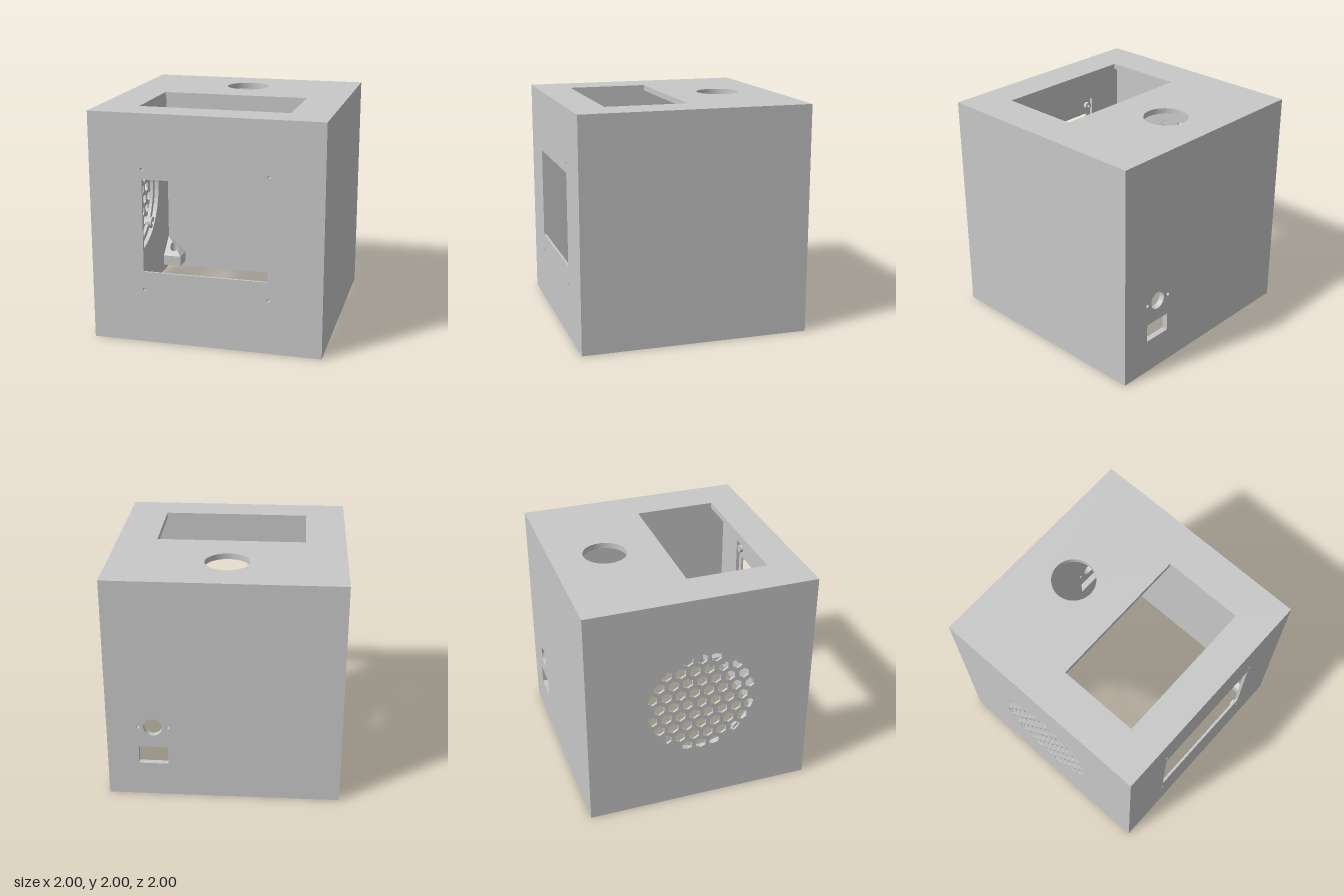
import * as THREE from 'three';

const T = 0.05;      // wall thickness
const IN = 1 - T;    // inner wall position
const SKIN = 0.02;   // thin outer layer at the window and the vent

function rect(Kind, x0, y0, x1, y1) {
  const s = new Kind();
  s.moveTo(x0, y0).lineTo(x1, y0).lineTo(x1, y1).lineTo(x0, y1).closePath();
  return s;
}
function circle(Kind, x, y, r) {
  const s = new Kind();
  s.absarc(x, y, r, 0, Math.PI * 2, false);
  return s;
}
const hole = (x, y, r) => circle(THREE.Path, x, y, r);
const slot = (x0, y0, x1, y1) => rect(THREE.Path, x0, y0, x1, y1);

function plate(shape, holes, depth) {
  shape.holes.push(...holes);
  return new THREE.ExtrudeGeometry(shape, { depth, bevelEnabled: false, curveSegments: 24 });
}

// Hexagonal vent holes in staggered rows, trimmed to a round outline
function ventHoles(cy, R) {
  const pitch = 0.125, row = pitch * Math.sqrt(3) / 2, r = 0.05, out = [];
  for (let j = -4; j <= 4; j++) {
    for (let i = -5; i <= 5; i++) {
      const x = (i + (j % 2 ? 0.5 : 0)) * pitch, y = j * row;
      if (Math.hypot(x, y) > R - 0.01) continue;
      const pts = [];
      for (let k = 0; k < 6; k++) {
        const a = (k + 0.5) * Math.PI / 3;
        const p = new THREE.Vector2(x + r * Math.cos(a), y + r * Math.sin(a));
        pts.push(p.clampLength(0, R).add(new THREE.Vector2(0, cy)));
      }
      out.push(new THREE.Path(pts));
    }
  }
  return out;
}

export function createModel() {
  const model = new THREE.Group();
  const grey = new THREE.MeshStandardMaterial({ color: 0xc8c8c8 });
  grey.name = 'grey plastic';

  function add(name, geometry, parent = model) {
    const mesh = new THREE.Mesh(geometry, grey);
    mesh.name = name;
    parent.add(mesh);
    return mesh;
  }

  // Front wall: thin face with window, thicker frame behind it forming a pocket
  const screws = [[-0.54, 0.475], [0.54, 0.475], [-0.54, 1.53], [0.54, 1.53]];
  add('frontFace', plate(rect(THREE.Shape, -1, 0, 1, 2),
    [slot(-0.54, 0.635, 0.535, 1.445), ...screws.map(([x, y]) => hole(x, y, 0.014))], SKIN))
    .position.z = 1 - SKIN;
  add('frontPocketFrame', plate(rect(THREE.Shape, -1, 0, 1, 2),
    [slot(-0.59, 0.41, 0.59, 1.6)], T - SKIN)).position.z = IN;
  for (const [x, y] of screws) {
    add('screenBoss', plate(circle(THREE.Shape, x, y, 0.035), [hole(x, y, 0.014)], T - SKIN))
      .position.z = IN;
  }

  // Back wall: round jack with two screws, and a rectangular socket
  add('backWall', plate(rect(THREE.Shape, -1, 0, 1, 2), [
    hole(0.604, 0.667, 0.08), hole(0.475, 0.667, 0.015), hole(0.731, 0.667, 0.015),
    slot(0.478, 0.31, 0.73, 0.475)], T)).position.z = -1;

  // Plain side wall
  const plain = add('leftWall', plate(rect(THREE.Shape, -IN, 0, IN, 2), [], T));
  plain.rotation.y = -Math.PI / 2;
  plain.position.x = 1;

  // Vented side wall: thin grille, thicker wall behind it, fan seat on the inner face
  const vent = new THREE.Group();
  vent.name = 'fanSide';
  vent.rotation.y = -Math.PI / 2;
  vent.position.x = -IN;
  model.add(vent);
  add('grille', plate(rect(THREE.Shape, -IN, 0, IN, 2), ventHoles(1, 0.48), SKIN), vent)
    .position.z = T - SKIN;
  add('rightWall', plate(rect(THREE.Shape, -IN, 0, IN, 2), [hole(0, 1, 0.48)], T - SKIN), vent);
  const rim = 0.04;
  add('fanRing', plate(circle(THREE.Shape, 0, 1, 0.59), [hole(0, 1, 0.53)], rim), vent)
    .position.z = -rim;
  for (const sx of [-1, 1]) {
    for (const sy of [-1, 1]) {
      const x = 0.36 * sx, y = 1 + 0.36 * sy;
      add('fanBoss', plate(circle(THREE.Shape, x, y, 0.055), [hole(x, y, 0.022)], 0.03 + T - SKIN), vent)
        .position.z = -0.03;
    }
  }

  // Top wall with round and rectangular openings
  const top = add('topWall', plate(rect(THREE.Shape, -IN, -IN, IN, IN),
    [hole(0, 0.525, 0.19), slot(-0.65, -0.695, 0.65, 0.02)], T));
  top.rotation.x = -Math.PI / 2;
  top.position.y = 2 - T;

  // Foot blocks in the corners, upper faces sloping up to the wall corner
  const size = 0.18, mid = IN - size / 2;
  const foot = plate(rect(THREE.Shape, -IN, IN - size, -IN + size, IN), [hole(-mid, mid, 0.045)], 0.1);
  foot.rotateX(-Math.PI / 2);
  const p = foot.attributes.position;
  for (let i = 0; i < p.count; i++) {
    if (p.getY(i) < 0.05) continue;
    const near = Math.min(-p.getX(i), -p.getZ(i)) - (IN - size);
    p.setY(i, 0.1 + 0.16 * near / size);
  }
  foot.computeVertexNormals();
  for (let k = 0; k < 4; k++) {
    const block = add('cornerBlock', foot);
    block.position.y = 0.06;
    block.rotation.y = k * Math.PI / 2;
  }
  return model;
}
